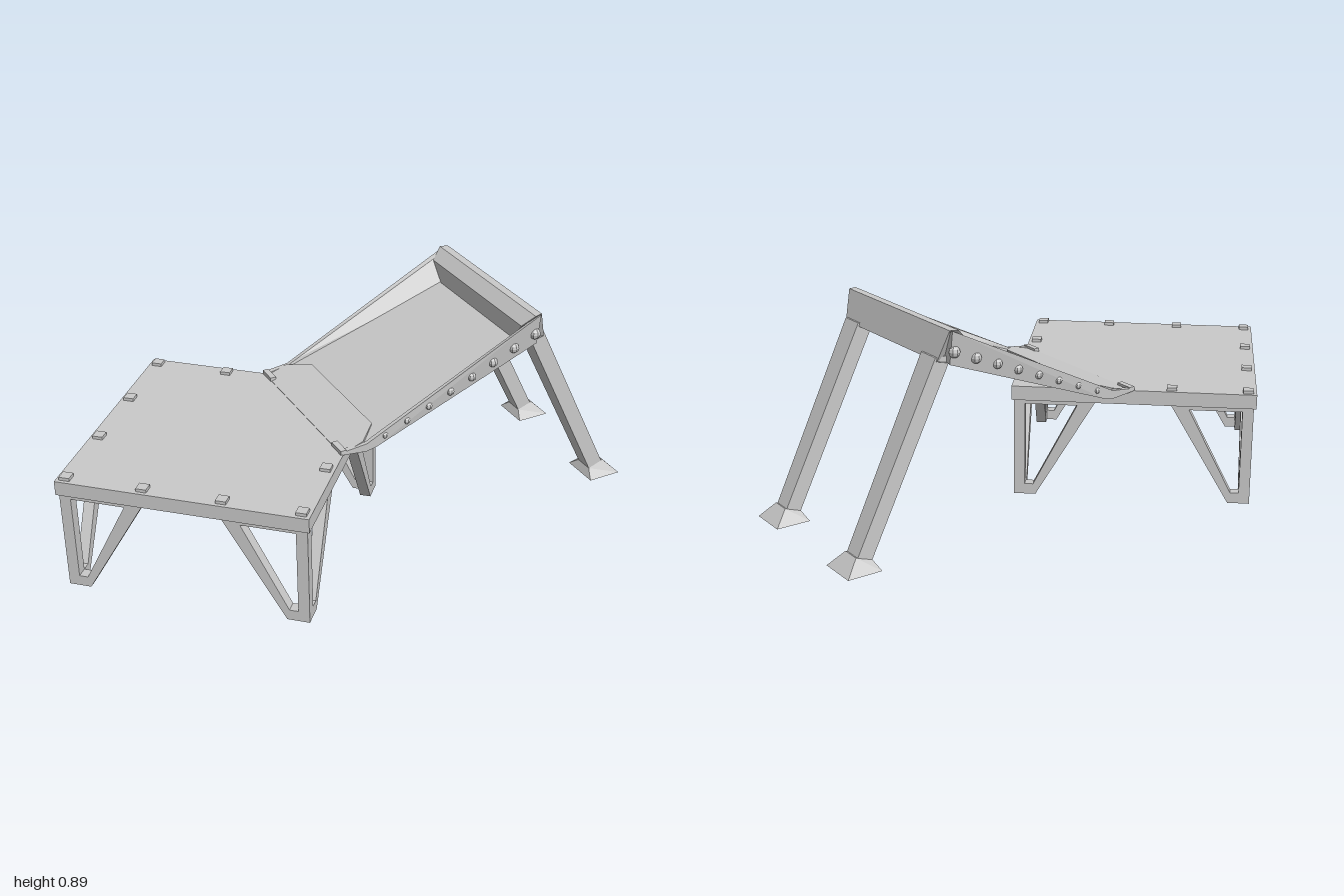
import * as THREE from 'three';

const grey = new THREE.MeshStandardMaterial({ color: 0xcacaca, flatShading: true });
grey.name = 'light grey';

function add(parent, name, geometry, x = 0, y = 0, z = 0) {
  const mesh = new THREE.Mesh(geometry, grey);
  mesh.name = name;
  mesh.position.set(x, y, z);
  parent.add(mesh);
  return mesh;
}

// Solid through a row of rings of [x, y, z] points, capped at both ends
function loft(rings) {
  const tris = [];
  const n = rings[0].length;
  for (let r = 0; r < rings.length - 1; r++) {
    for (let i = 0; i < n; i++) {
      const j = (i + 1) % n;
      const a = rings[r][i], b = rings[r][j], c = rings[r + 1][j], d = rings[r + 1][i];
      tris.push([a, b, c], [a, c, d]);
    }
  }
  const last = rings[rings.length - 1];
  for (let i = 1; i < n - 1; i++) {
    tris.push([rings[0][0], rings[0][i + 1], rings[0][i]], [last[0], last[i], last[i + 1]]);
  }
  // turn all faces outward
  let volume = 0;
  const v = (p) => new THREE.Vector3(...p);
  for (const [a, b, c] of tris) volume += v(a).dot(v(b).cross(v(c)));
  if (volume < 0) tris.forEach((t) => t.reverse());
  const geometry = new THREE.BufferGeometry();
  geometry.setAttribute('position', new THREE.Float32BufferAttribute(tris.flat(2), 3));
  geometry.computeVertexNormals();
  return geometry;
}

// Slab symmetric about z = 0; each row is [x, bottom, top, half width]
const slab = (rows) => loft(rows.map(([x, lo, hi, w]) =>
  [[x, lo, -w], [x, hi, -w], [x, hi, w], [x, lo, w]]));

// Rectangle ring, at height y0 on the x0 edge and y1 on the x1 edge
const rect = (x0, x1, z, half, y0, y1 = y0) =>
  [[x0, y0, z - half], [x1, y1, z - half], [x1, y1, z + half], [x0, y0, z + half]];

const points = (list) => list.map((p) => new THREE.Vector2(...p));

function createPlatform() {
  const platform = new THREE.Group();
  platform.name = 'platform';
  platform.position.set(-0.498, 0, 0.452);
  add(platform, 'deck', new THREE.BoxGeometry(1.004, 0.025, 1.004), 0, 0.4675, 0);
  for (const s of [-1, 1]) {
    add(platform, 'sideRail', new THREE.BoxGeometry(0.022, 0.06, 1.004), s * 0.491, 0.45, 0);
    add(platform, 'endRail', new THREE.BoxGeometry(0.96, 0.06, 0.022), 0, 0.45, s * 0.491);
  }

  // Small square pads around the deck edge
  const pads = [[-0.467, -0.467], [-0.157, -0.467], [-0.467, -0.157], [-0.467, 0.157],
    [0.467, 0.157], [-0.467, 0.467], [-0.157, 0.467], [0.157, 0.467], [0.467, 0.467]];
  for (const [x, z] of pads) {
    add(platform, 'deckPad', new THREE.BoxGeometry(0.042, 0.014, 0.042), x, 0.486, z);
  }

  // Each corner leg is two open triangular frames at right angles, sharing the corner post
  const shape = new THREE.Shape(points([[0, 0], [0.09, 0], [0.34, 0.425], [0, 0.425]]));
  shape.holes.push(new THREE.Path(points(
    [[0.045, 0.045], [0.045, 0.402], [0.262, 0.402], [0.08, 0.045]])));
  const frame = new THREE.ExtrudeGeometry(shape, { depth: 0.045, bevelEnabled: false });
  for (let i = 0; i < 4; i++) {
    const leg = new THREE.Group();
    leg.name = 'cornerLeg';
    leg.rotation.y = i * Math.PI / 2;
    add(leg, 'legFrame', frame, -0.492, 0, 0.447);
    add(leg, 'legFrame', frame, -0.492, 0, 0.492).rotation.y = Math.PI / 2;
    platform.add(leg);
  }
  return platform;
}

// Ramp runs along its own x, from the deck corner up to the end frame
function createRamp() {
  const ramp = new THREE.Group();
  ramp.name = 'ramp';
  ramp.position.set(-0.25, 0, 0.225);
  ramp.rotation.y = THREE.MathUtils.degToRad(42.3);

  add(ramp, 'rampFloor', slab([
    [0.08, 0.466, 0.484, 0.365], [0.14, 0.472, 0.504, 0.358], [0.87, 0.752, 0.78, 0.32]]));
  add(ramp, 'entryPlate', slab([
    [0, 0.478, 0.482, 0.37], [0.1, 0.478, 0.506, 0.355], [0.18, 0.5, 0.525, 0.275]]));

  // Flared side walls, growing taller toward the top
  const wall = [
    [0, [0.478, 0.37], [0.49, 0.37], [0.49, 0.345], [0.478, 0.345]],
    [0.11, [0.466, 0.37], [0.502, 0.372], [0.502, 0.355], [0.475, 0.35]],
    [0.15, [0.474, 0.37], [0.522, 0.373], [0.522, 0.355], [0.485, 0.347]],
    [0.885, [0.75, 0.36], [0.886, 0.382], [0.878, 0.362], [0.772, 0.285]]];
  for (const side of [-1, 1]) {
    add(ramp, 'sideWall', loft(wall.map(([x, ...ring]) => ring.map(([y, z]) => [x, y, z * side]))));
    add(ramp, 'entryStop', new THREE.BoxGeometry(0.025, 0.02, 0.08), 0.008, 0.487, side * 0.33);

    // Bolts along the wall, slightly larger toward the top
    for (let i = 0; i < 8; i++) {
      add(ramp, 'wallBolt', new THREE.SphereGeometry(0.014 + i * 0.0014, 8, 6),
        0.19 + i * 0.097, 0.517 + i * 0.0405, side * 0.367);
    }

    // Slanted support leg and its flared, tilted-top foot
    const z = side * 0.287;
    add(ramp, 'supportLeg', loft([
      rect(0.86, 0.933, z, 0.05, 0.78), rect(1.225, 1.298, z, 0.04, 0.03)]));
    add(ramp, 'supportFoot', loft([
      rect(1.205, 1.352, z, 0.083, 0), rect(1.222, 1.292, z, 0.04, 0.035, 0.06)]));
  }

  // Cross beam at the top, with a steep inner face and a sloped rim
  const beam = [[0.815, 0.75, 0.285], [0.81, 0.842, 0.355], [0.858, 0.886, 0.383],
    [0.892, 0.887, 0.374], [0.93, 0.765, 0.342], [0.86, 0.747, 0.342]];
  add(ramp, 'crossBeam', loft([-1, 1].map((s) => beam.map(([x, y, w]) => [x, y, s * w]))));
  return ramp;
}

export function createModel() {
  const model = new THREE.Group();
  model.name = 'platformWithRamp';
  model.add(createPlatform(), createRamp());
  return model;
}
